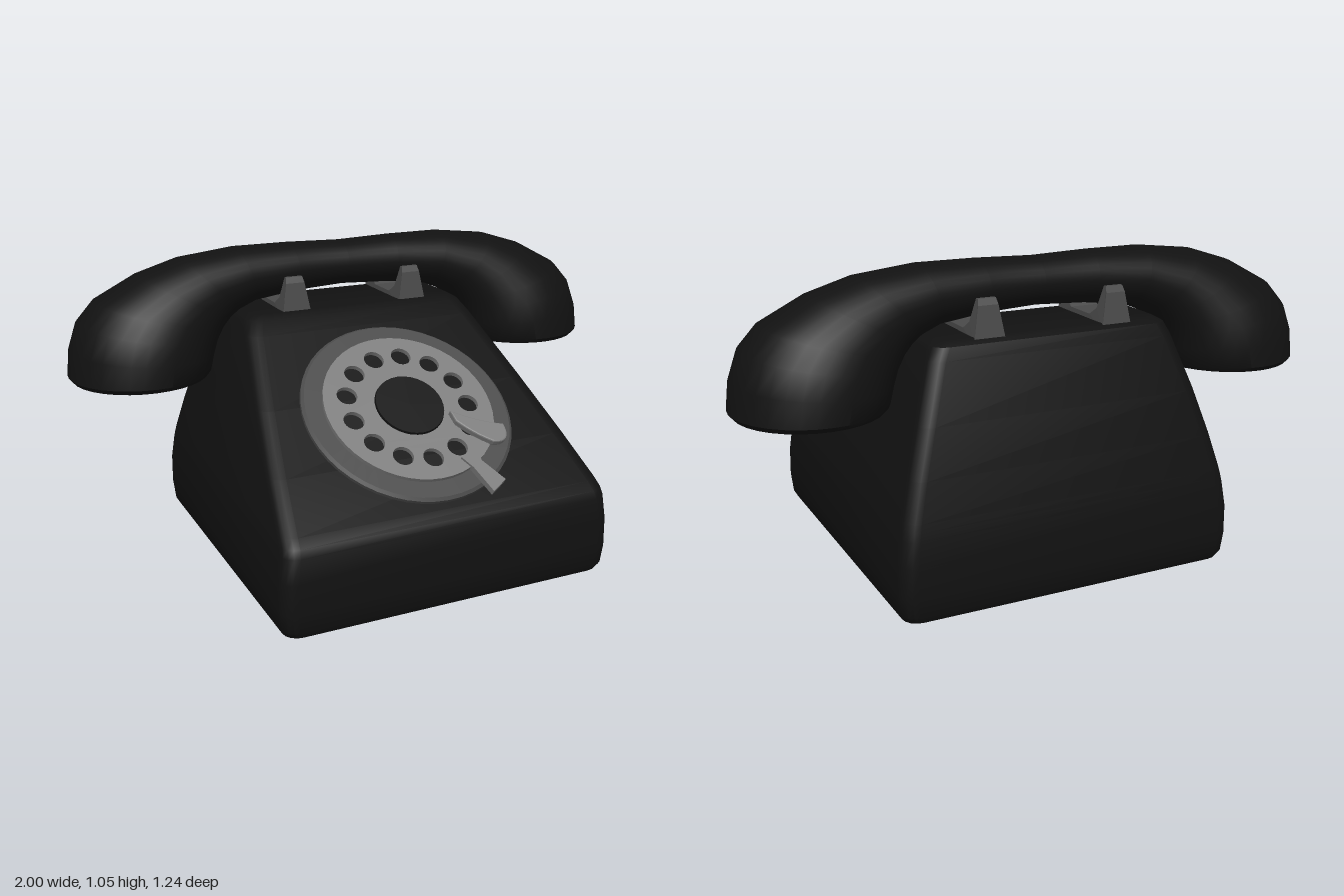
import * as THREE from 'three';
import { toCreasedNormals } from 'three/addons/utils/BufferGeometryUtils.js';

const paint = (color) => new THREE.MeshStandardMaterial({ color });
const black = paint(0x111111);
const darkGrey = paint(0x4a4a4a);
const midGrey = paint(0x7c7c7c);

function part(parent, name, geometry, material) {
  const mesh = new THREE.Mesh(geometry, material);
  mesh.name = name;
  parent.add(mesh);
  return mesh;
}

// Skin a list of equal-length rings of points and cap both ends
function loft(rings, crease) {
  const n = rings[0].length;
  const last = (rings.length - 1) * n;
  const points = rings.flat();
  const index = [];
  const centre = (ring) => ring.reduce((s, p) => s.add(p), new THREE.Vector3()).divideScalar(n);
  const start = points.push(centre(rings[0])) - 1;
  const end = points.push(centre(rings[rings.length - 1])) - 1;
  for (let i = 0; i < n; i++) {
    const j = (i + 1) % n;
    for (let r = 0; r < last; r += n) {
      index.push(r + i, r + j, r + n + j, r + i, r + n + j, r + n + i);
    }
    index.push(start, j, i, end, last + i, last + j);
  }
  const geometry = new THREE.BufferGeometry().setFromPoints(points);
  geometry.setIndex(index);
  return toCreasedNormals(geometry, crease);
}

// Horizontal rounded rectangle of the housing
function housingRing([y, w, front, back]) {
  const radius = 0.05;
  const mid = (front + back) / 2;
  const depth = (front - back) / 2;
  const ring = [];
  for (let q = 0; q < 4; q++) {
    const sx = q === 0 || q === 3 ? 1 : -1;
    const sz = q < 2 ? -1 : 1;
    for (let k = 0; k <= 4; k++) {
      const a = (q + k / 4) * Math.PI / 2;
      ring.push(new THREE.Vector3(
        sx * (w - radius) + radius * Math.cos(a), y,
        mid + sz * (depth - radius) - radius * Math.sin(a)));
    }
  }
  return ring;
}

// Elliptical handset section between an outer and an inner point
function handsetRing([ox, oy, ix, iy, w]) {
  const ring = [];
  for (let k = 0; k < 32; k++) {
    const a = k / 32 * Math.PI * 2;
    const t = (1 + Math.cos(a)) / 2;
    ring.push(new THREE.Vector3(ix + (ox - ix) * t, iy + (oy - iy) * t, -0.295 - w * Math.sin(a)));
  }
  return ring;
}

function polygon(points) {
  return new THREE.Shape(points.map(([x, y]) => new THREE.Vector2(x, y)));
}

function circlePath(x, y, r) {
  return new THREE.Path().absarc(x, y, r, 0, Math.PI * 2, true);
}

function makeDial() {
  const dial = new THREE.Group();
  dial.name = 'dial';

  // Bevelled surround
  const profile = [[0.28, 0], [0.365, 0], [0.365, 0.012], [0.355, 0.02], [0.28, 0.02], [0.28, 0]]
    .map(([x, y]) => new THREE.Vector2(x, y));
  const surround = toCreasedNormals(new THREE.LatheGeometry(profile, 48), 0.5);
  part(dial, 'dialSurround', surround.rotateX(Math.PI / 2), darkGrey);

  // Finger wheel with thirteen holes
  const wheel = new THREE.Shape().absarc(0, 0, 0.295, 0, Math.PI * 2, false);
  wheel.holes.push(circlePath(0, 0, 0.12));
  for (let i = 0; i < 13; i++) {
    const a = -Math.PI / 2 + i * Math.PI * 2 / 13;
    wheel.holes.push(circlePath(0.213 * Math.cos(a), 0.213 * Math.sin(a), 0.035));
  }
  const wheelGeometry = new THREE.ExtrudeGeometry(wheel, { depth: 0.016, bevelEnabled: false, curveSegments: 24 });
  part(dial, 'fingerWheel', wheelGeometry, midGrey).position.z = 0.018;

  // Hub
  const hub = new THREE.CylinderGeometry(0.118, 0.126, 0.042, 32).rotateX(Math.PI / 2);
  part(dial, 'dialHub', hub, black).position.z = 0.021;

  // Finger stop: flat bracket and raised tongue
  const bracket = polygon([[0.09, -0.235], [0.115, -0.28], [0.145, -0.38], [0.205, -0.345], [0.155, -0.26], [0.155, -0.22]]);
  part(dial, 'stopBracket', new THREE.ExtrudeGeometry(bracket,
    { depth: 0.022, bevelEnabled: false }), midGrey).position.z = 0.02;
  const tongue = new THREE.Shape();
  tongue.moveTo(0.125, -0.065);
  tongue.lineTo(0.13, -0.1);
  tongue.quadraticCurveTo(0.17, -0.16, 0.225, -0.2);
  tongue.quadraticCurveTo(0.285, -0.215, 0.283, -0.145);
  tongue.quadraticCurveTo(0.2, -0.12, 0.125, -0.065);
  part(dial, 'stopTongue', new THREE.ExtrudeGeometry(tongue,
    { depth: 0.015, bevelThickness: 0.005, bevelSize: 0.005, bevelSegments: 2 }), midGrey).position.z = 0.035;

  dial.position.set(0, 0.554, 0.255);
  dial.rotation.x = -0.955;
  return dial;
}

// U-shaped rest whose prongs narrow towards their tips
function cradleGeometry() {
  const half = [[0.15, 0.81], [0.135, 0.93], [0.125, 0.95], [0.112, 0.95], [0.095, 0.875], [0.06, 0.85]];
  const outline = [...half, ...half.map(([z, y]) => [-z, y]).reverse()];
  const geometry = new THREE.ExtrudeGeometry(polygon(outline), { depth: 0.11, bevelEnabled: false });
  geometry.translate(0, 0, -0.055).rotateY(Math.PI / 2);
  const p = geometry.attributes.position;
  for (let i = 0; i < p.count; i++) {
    const t = THREE.MathUtils.clamp((p.getY(i) - 0.83) / 0.12, 0, 1);
    p.setX(i, p.getX(i) * (1 - 0.45 * t));
  }
  geometry.computeVertexNormals();
  return geometry;
}

export function createModel() {
  const phone = new THREE.Group();
  phone.name = 'telephone';

  // Housing: height, half width, front z, back z
  const housing = [
    [0, 0.54, 0.57, -0.57], [0.012, 0.572, 0.602, -0.602], [0.035, 0.585, 0.615, -0.615],
    [0.1, 0.592, 0.62, -0.62], [0.2, 0.59, 0.62, -0.62], [0.28, 0.58, 0.614, -0.61],
    [0.305, 0.576, 0.602, -0.605], [0.33, 0.571, 0.572, -0.6], [0.45, 0.54, 0.403, -0.573],
    [0.6, 0.495, 0.191, -0.535], [0.78, 0.435, -0.064, -0.478], [0.82, 0.415, -0.12, -0.464],
    [0.835, 0.39, -0.15, -0.44],
  ];
  part(phone, 'housing', loft(housing.map(housingRing), 0.6), black);

  phone.add(makeDial());

  // Cradle rests
  for (const side of [-1, 1]) {
    const name = side > 0 ? 'leftCradle' : 'rightCradle';
    part(phone, name, cradleGeometry(), darkGrey).position.set(side * 0.225, 0, -0.3);
  }

  // Handset: outer x, y, inner x, y, half width in z
  const halfHandset = [
    [0.985, 0.63, 0.525, 0.63, 0.23], [1, 0.648, 0.512, 0.645, 0.245], [0.99, 0.74, 0.498, 0.7, 0.242],
    [0.96, 0.83, 0.482, 0.745, 0.228], [0.9, 0.9, 0.457, 0.785, 0.203], [0.75, 0.98, 0.43, 0.812, 0.17],
    [0.6, 1.027, 0.4, 0.832, 0.142], [0.4, 1.05, 0.34, 0.857, 0.118], [0.2, 1.05, 0.18, 0.877, 0.1],
  ];
  const mirrored = halfHandset.map(([ox, oy, ix, iy, w]) => [-ox, oy, -ix, iy, w]).reverse();
  const handset = [...halfHandset, [0, 1.044, 0, 0.886, 0.092], ...mirrored];
  part(phone, 'handset', loft(handset.map(handsetRing), 0.75), black);

  return phone;
}
